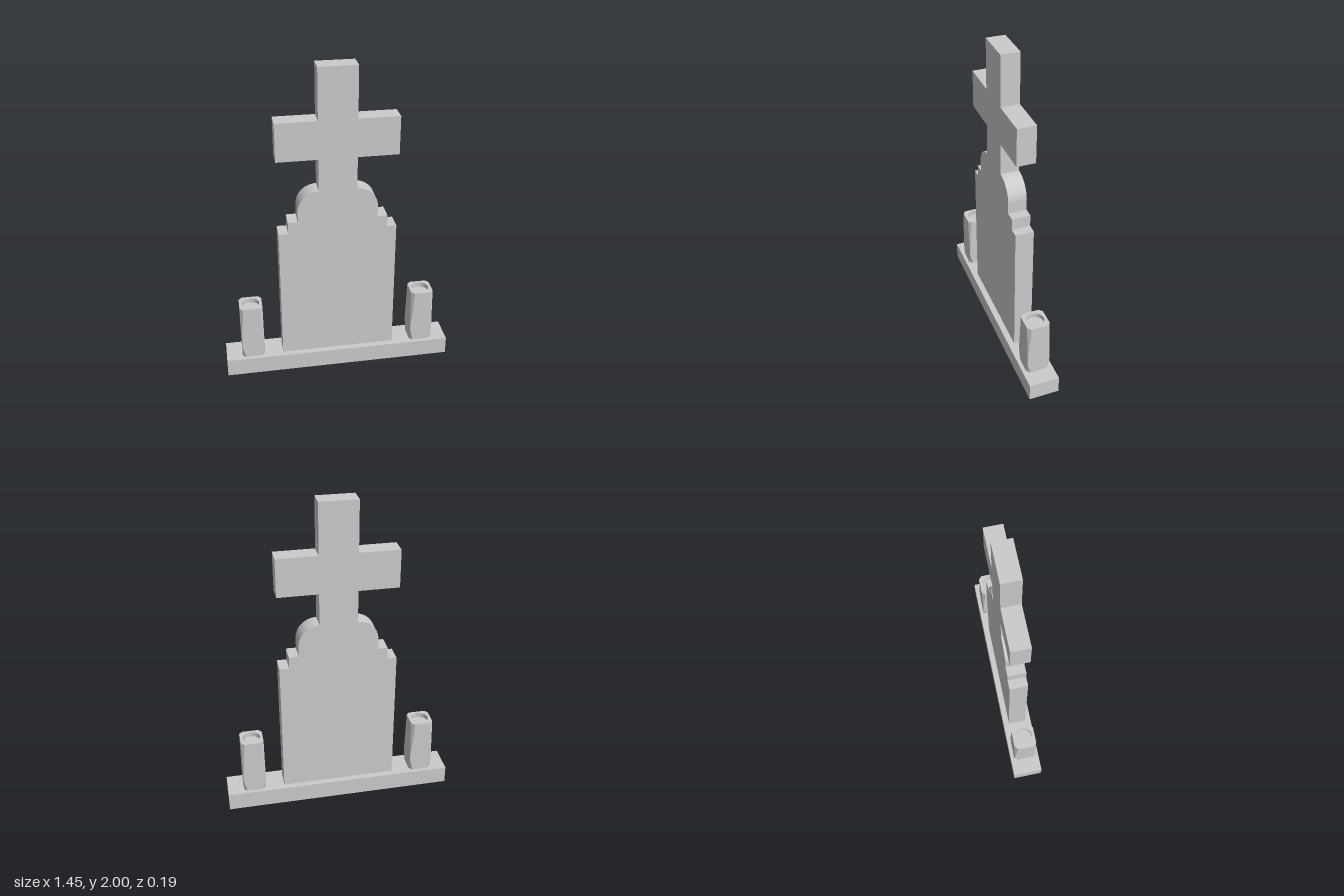
import * as THREE from 'three';
import { toCreasedNormals } from 'three/addons/utils/BufferGeometryUtils.js';

const stone = new THREE.MeshStandardMaterial({ color: 0xcccccc });
const stoneFlat = new THREE.MeshStandardMaterial({ color: 0xcccccc, flatShading: true });
const stoneInside = new THREE.MeshStandardMaterial({ color: 0xcccccc, side: THREE.DoubleSide });

const BASE_TOP = 0.115;
const VASE = { half: 0.0715, height: 0.363, belly: 0.083, chamfer: 0.021, hole: 0.054, depth: 0.03 };

function addMesh(parent, name, geometry, material = stone) {
  const mesh = new THREE.Mesh(geometry, material);
  mesh.name = name;
  parent.add(mesh);
  return mesh;
}

// Headstone outline: stepped slab, rounded shoulders and cross in one piece
function headstoneGeometry() {
  const r = 0.127, neck = 0.115;
  const s = new THREE.Shape();
  s.moveTo(-0.36, BASE_TOP);
  s.lineTo(0.36, BASE_TOP);
  s.lineTo(0.36, 0.985);
  s.lineTo(0.302, 0.985);
  s.lineTo(0.302, 1.06);
  s.lineTo(neck + r, 1.06);
  s.absarc(neck, 1.255 - r, r, 0, Math.PI / 2, false);
  s.lineTo(neck, 1.455);
  s.lineTo(0.362, 1.455);
  s.lineTo(0.362, 1.69);
  s.lineTo(neck, 1.69);
  s.lineTo(neck, 2);
  s.lineTo(-neck, 2);
  s.lineTo(-neck, 1.69);
  s.lineTo(-0.362, 1.69);
  s.lineTo(-0.362, 1.455);
  s.lineTo(-neck, 1.455);
  s.lineTo(-neck, 1.255);
  s.absarc(-neck, 1.255 - r, r, Math.PI / 2, Math.PI, false);
  s.lineTo(-neck - r, 1.06);
  s.lineTo(-0.302, 1.06);
  s.lineTo(-0.302, 0.985);
  s.lineTo(-0.36, 0.985);
  s.closePath();
  const geo = new THREE.ExtrudeGeometry(s, { depth: 0.114, bevelEnabled: false, curveSegments: 16 });
  geo.translate(0, 0, -0.057);
  return toCreasedNormals(geo, 0.5);
}

// Square with cut corners, counter-clockwise
function cutSquare(h, c) {
  const k = h - c;
  return [[h, -k], [h, k], [k, h], [-k, h], [-h, k], [-h, -k], [-k, -h], [k, -h]]
    .map(([x, y]) => new THREE.Vector2(x, y));
}

// Vase sides: corner cuts shrink to a point at the belly and open again
function vaseSides() {
  const { half, height, belly, chamfer } = VASE;
  const rings = [[0, chamfer], [belly, 0], [height, chamfer]].map(([y, c]) =>
    cutSquare(half, c).map(p => new THREE.Vector3(p.x, y, -p.y)));
  const points = [];
  const triangle = (a, b, c) => {
    if (a.distanceTo(b) > 1e-6 && b.distanceTo(c) > 1e-6 && c.distanceTo(a) > 1e-6) points.push(a, b, c);
  };
  for (let j = 0; j < 2; j++) {
    for (let i = 0; i < 8; i++) {
      const n = (i + 1) % 8, low = rings[j], up = rings[j + 1];
      triangle(low[i], low[n], up[n]);
      triangle(low[i], up[n], up[i]);
    }
  }
  const geo = new THREE.BufferGeometry().setFromPoints(points);
  geo.computeVertexNormals();
  return geo;
}

function makeVase(name, x) {
  const { half, height, chamfer, hole, depth } = VASE;
  const vase = new THREE.Group();
  vase.name = name;
  vase.position.set(x, BASE_TOP, 0);
  addMesh(vase, 'vaseBody', vaseSides(), stoneFlat);

  // Rim with a round opening
  const rim = new THREE.Shape(cutSquare(half, chamfer));
  rim.holes.push(new THREE.Path().absarc(0, 0, hole, 0, Math.PI * 2, true));
  const rimGeo = new THREE.ShapeGeometry(rim, 32);
  rimGeo.rotateX(-Math.PI / 2).translate(0, height, 0);
  addMesh(vase, 'vaseRim', rimGeo);

  // Recess wall and floor
  const wall = new THREE.CylinderGeometry(hole, hole, depth, 32, 1, true);
  addMesh(vase, 'vaseRecessWall', wall, stoneInside).position.y = height - depth / 2;
  const floor = new THREE.CircleGeometry(hole, 32).rotateX(-Math.PI / 2);
  addMesh(vase, 'vaseRecessFloor', floor).position.y = height - depth;
  return vase;
}

export function createModel() {
  const model = new THREE.Group();
  model.name = 'gravestone';

  // Plinth under everything
  addMesh(model, 'base', new THREE.BoxGeometry(1.446, BASE_TOP, 0.19)).position.y = BASE_TOP / 2;

  addMesh(model, 'headstoneWithCross', headstoneGeometry());

  // A vase at each end
  model.add(makeVase('leftVase', 0.55), makeVase('rightVase', -0.55));
  return model;
}
